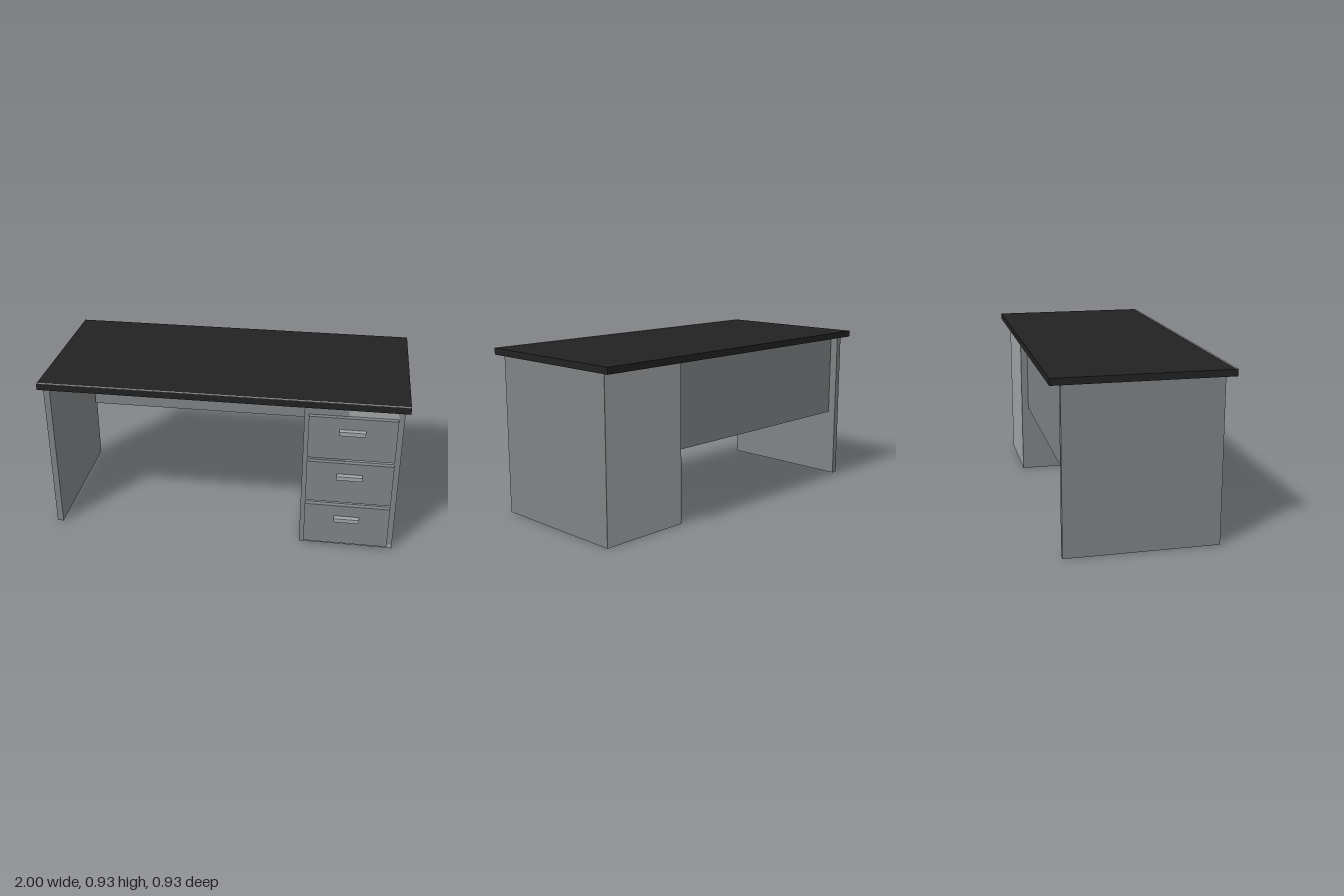
import * as THREE from 'three';

const mat = (name, color) => {
  const m = new THREE.MeshStandardMaterial({ color });
  m.name = name;
  return m;
};

export function createModel() {
  const desk = new THREE.Group();
  desk.name = 'desk';
  const black = mat('black top', 0x222222);
  const grey = mat('mid grey', 0x7f8385);
  const light = mat('light grey', 0xa2a5a6);

  // Box given by its extents on each axis
  const box = (name, material, [x0, x1], [y0, y1], [z0, z1], parent = desk) => {
    const mesh = new THREE.Mesh(new THREE.BoxGeometry(x1 - x0, y1 - y0, z1 - z0), material);
    mesh.position.set((x0 + x1) / 2, (y0 + y1) / 2, (z0 + z1) / 2);
    mesh.name = name;
    parent.add(mesh);
    return mesh;
  };

  // Desk top with a pale trim along the front edge
  box('deskTop', black, [-1, 1], [0.889, 0.925], [-0.467, 0.467]);
  box('frontTrim', light, [-1, 1], [0.925, 0.927], [0.456, 0.467]);

  // Side leg and modesty panel
  box('sideLeg', grey, [-0.985, -0.95], [0, 0.889], [-0.412, 0.412]);
  box('modestyPanel', grey, [-0.94, 0.45], [0.4, 0.889], [-0.372, -0.35]);

  // Cabinet: pale carcass between grey side panels
  const cabinet = new THREE.Group();
  cabinet.name = 'drawerCabinet';
  desk.add(cabinet);
  box('carcass', light, [0.455, 0.97], [0, 0.889], [-0.412, 0.41], cabinet);
  box('innerSide', grey, [0.45, 0.455], [0, 0.889], [-0.412, 0.412], cabinet);
  box('outerSide', grey, [0.97, 0.975], [0, 0.889], [-0.412, 0.412], cabinet);

  // Front frame
  box('leftStile', grey, [0.455, 0.475], [0, 0.889], [0.41, 0.412], cabinet);
  box('rightStile', grey, [0.945, 0.97], [0.025, 0.889], [0.41, 0.412], cabinet);
  box('topRail', grey, [0.475, 0.945], [0.863, 0.889], [0.41, 0.412], cabinet);
  box('upperGapPlate', grey, [0.475, 0.685], [0.825, 0.863], [0.41, 0.412], cabinet);
  box('middleGapPlate', grey, [0.475, 0.685], [0.55, 0.575], [0.41, 0.412], cabinet);

  // Drawers with bar handles
  for (let i = 0; i < 3; i++) {
    const y = 0.025 + i * 0.275;
    const drawer = new THREE.Group();
    drawer.name = 'drawer' + (i + 1);
    cabinet.add(drawer);
    box('drawerFront', grey, [0.475, 0.945], [y, y + 0.25], [0.41, 0.437], drawer);
    box('handle', light, [0.64, 0.78], [y + 0.16, y + 0.183], [0.437, 0.467], drawer);
  }
  return desk;
}
